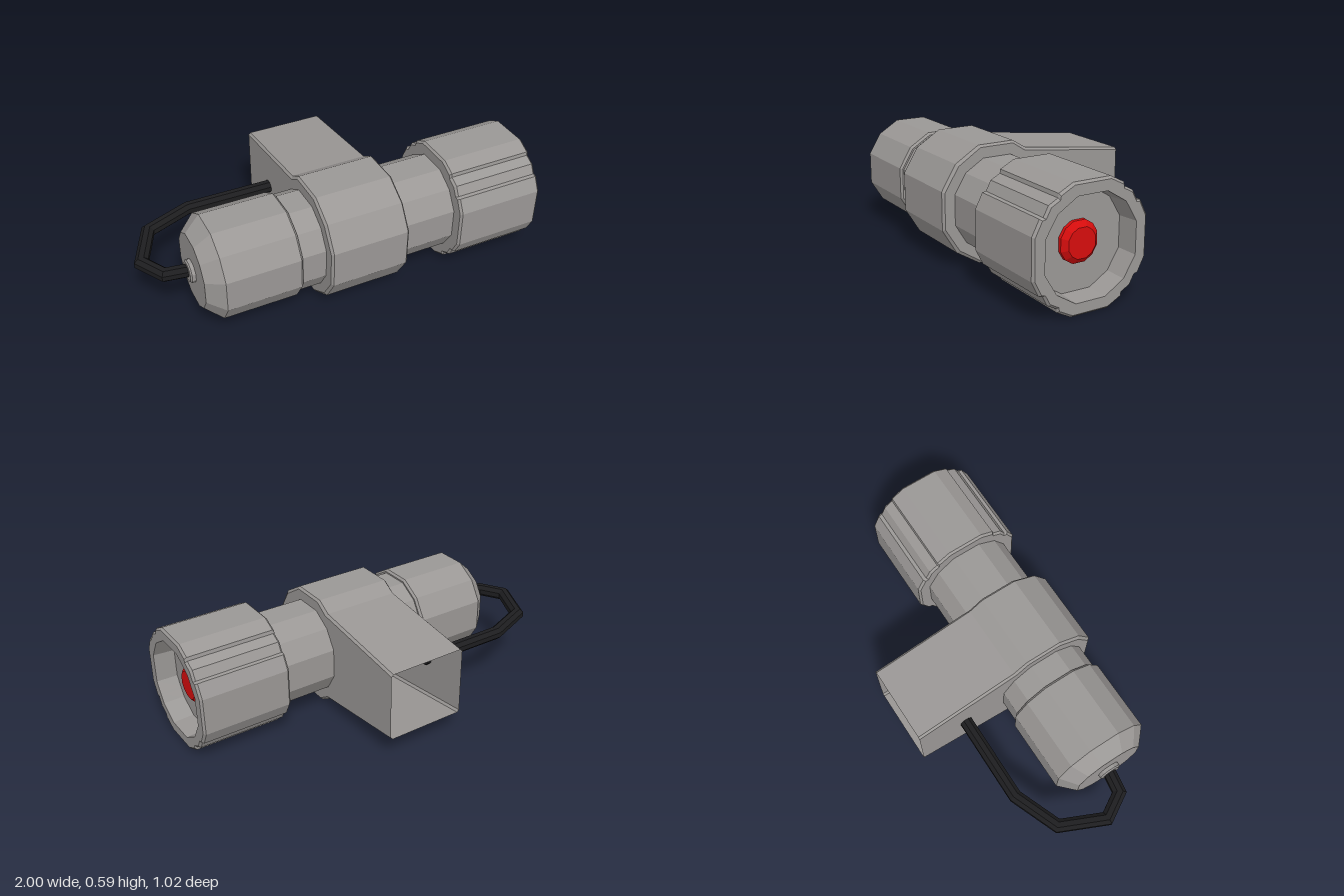
import * as THREE from 'three';

const CY = 0.296, CZ = 0.213; // axis of the torch body (runs along x)
const RAD = Math.PI / 180;

const grey = new THREE.MeshStandardMaterial({ color: 0x9a9795, flatShading: true });
grey.name = 'grey casing';
const greyOpen = new THREE.MeshStandardMaterial({ color: 0x9a9795, flatShading: true, side: THREE.DoubleSide });
greyOpen.name = 'grey sheet';
const red = new THREE.MeshStandardMaterial({ color: 0xd60d0d, flatShading: true });
red.name = 'red lens';
const black = new THREE.MeshStandardMaterial({ color: 0x1d1d1f, flatShading: true });
black.name = 'black cable';

// Skin a list of rings with flat faces, and cap both ends
function loft(name, rings, material, closed = true) {
  const pos = [];
  const tri = (...pts) => pts.forEach(p => pos.push(p.x, p.y, p.z));
  const n = rings[0].length;
  for (let i = 0; i < rings.length - 1; i++) {
    for (let j = 0; j < (closed ? n : n - 1); j++) {
      const k = (j + 1) % n;
      const a = rings[i][j], b = rings[i][k], c = rings[i + 1][k], d = rings[i + 1][j];
      tri(a, b, c);
      tri(a, c, d);
    }
  }
  const cap = (ring, flip) => {
    const mid = ring.reduce((s, p) => s.add(p), new THREE.Vector3()).divideScalar(n);
    ring.forEach((p, j) => {
      const q = ring[(j + 1) % n];
      flip ? tri(mid, q, p) : tri(mid, p, q);
    });
  };
  cap(rings[0], true);
  cap(rings[rings.length - 1], false);
  const geometry = new THREE.BufferGeometry();
  geometry.setAttribute('position', new THREE.Float32BufferAttribute(pos, 3));
  geometry.computeVertexNormals();
  const mesh = new THREE.Mesh(geometry, material);
  mesh.name = name;
  return mesh;
}

// Repeat a quarter section of [degrees, radius] pairs around the axis
const fullTurn = quarter => [0, 90, 180, 270].flatMap(t => quarter.map(([a, r]) => [a + t, r]));
const ring = (x, section, scale) => section.map(([a, r]) => new THREE.Vector3(
  x, CY + Math.cos(a * RAD) * r * scale, CZ + Math.sin(a * RAD) * r * scale));

// Twelve-sided section, with slightly wider faces on the four main sides
const TWELVE = fullTurn([[18, 1], [45, 1], [72, 1]]);
const turned = (name, profile, material) =>
  loft(name, profile.map(([x, r]) => ring(x, TWELVE, r)), material);

// Head: raised grip panels outside, round recess inside
function makeHead() {
  const quarter = [[18, 0.31], [32.7, 0.3075], [35.2, 0.294], [45, 0.305],
    [54.8, 0.294], [57.3, 0.3075], [72, 0.31]];
  const outer = fullTurn(quarter);
  const hole = fullTurn(quarter.map(([a]) =>
    [a, Math.cos(13.5 * RAD) / Math.cos((a - (a < 45 ? 31.5 : 58.5)) * RAD)]));
  return loft('head', [
    ring(0.53, outer, 0.965), ring(0.541, outer, 1), ring(0.986, outer, 1), ring(0.997, outer, 0.965),
    ring(0.997, hole, 0.247), ring(0.89, hole, 0.24),
  ], grey);
}

// Collar and mounting bracket: one sheet wrapped round the body, open at the back
function makeBracket() {
  const BACK = -0.508;
  const collar = [];
  for (const [a] of TWELVE) {
    const y = Math.cos(a * RAD) * 0.31, z = Math.sin(a * RAD) * 0.31;
    if (z > 0) collar.push([CY + y, CZ + z]);
  }
  const outline = [[0.477, BACK], [0.546, 0.043], [CY + 0.295, CZ - 0.096],
    ...collar,
    [CY - 0.295, CZ - 0.096], [0.046, 0.043], [0.116, BACK]];
  const inset = (v, d) => d * THREE.MathUtils.clamp(v / 0.17, -1, 1);
  const section = (x, d) => outline.map(([y, z]) => new THREE.Vector3(
    x, y - inset(y - CY, d), z === BACK ? z : z - inset(z - CZ, d)));
  return loft('mountingBracket', [
    section(-0.175, 0.011), section(-0.164, 0), section(0.23, 0), section(0.241, 0.011),
  ], greyOpen, false);
}

// Cable: mitred eight-sided tube along a bent path
function makeCable() {
  const path = [[-0.155, -0.245], [-0.63, -0.25], [-0.865, -0.157], [-0.966, 0.065],
    [-0.893, 0.19], [-0.75, 0.213]].map(([x, z]) => new THREE.Vector3(x, 0.298, z));
  const up = new THREE.Vector3(0, 1, 0);
  const dir = i => path[i + 1].clone().sub(path[i]).normalize();
  const rings = path.map((p, i) => {
    const before = dir(Math.max(i - 1, 0)), after = dir(Math.min(i, path.length - 2));
    const along = before.clone().add(after).normalize();
    const side = along.clone().cross(up).divideScalar(along.dot(after));
    return Array.from({ length: 8 }, (_, j) => {
      const a = (j + 0.5) * Math.PI / 4;
      return p.clone().addScaledVector(up, Math.cos(a) * 0.034).addScaledVector(side, Math.sin(a) * 0.034);
    });
  });
  return loft('cable', rings, black);
}

export function createModel() {
  const model = new THREE.Group();
  model.name = 'wallLamp';
  model.add(
    turned('body', [[-0.32, 0.243], [0.54, 0.243]], grey),
    turned('tail', [[-0.765, 0.188], [-0.685, 0.262], [-0.31, 0.262], [-0.299, 0.251]], grey),
    turned('cableGland', [[-0.79, 0.05], [-0.783, 0.058], [-0.76, 0.058]], grey),
    turned('lens', [[0.885, 0.1], [0.907, 0.1], [0.93, 0.073]], red),
    makeHead(),
    makeBracket(),
    makeCable(),
  );
  return model;
}
